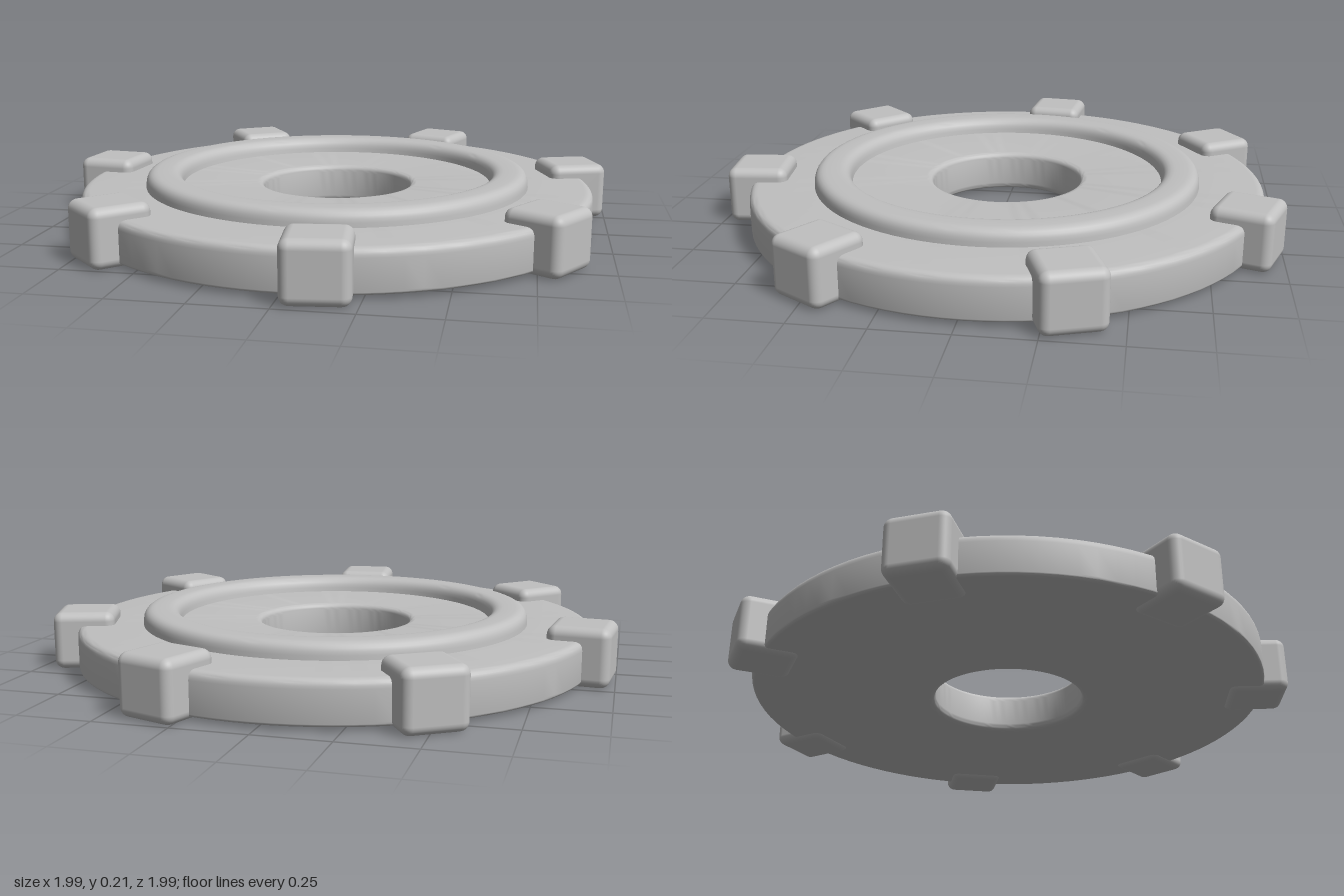
import * as THREE from 'three';
import { toCreasedNormals } from 'three/addons/utils/BufferGeometryUtils.js';
import { RoundedBoxGeometry } from 'three/addons/geometries/RoundedBoxGeometry.js';

// Lathe a closed profile of [radius, height, corner rounding], listed counter-clockwise.
function roundedLathe(corners) {
  const n = corners.length;
  const path = new THREE.Path();
  const toward = (a, b, d) => {
    const p = new THREE.Vector2(a[0], a[1]);
    const q = new THREE.Vector2(b[0], b[1]);
    return p.clone().add(q.sub(p).setLength(d));
  };
  corners.forEach((c, i) => {
    const before = toward(c, corners[(i + n - 1) % n], c[2]);
    const after = toward(c, corners[(i + 1) % n], c[2]);
    if (i === 0) path.moveTo(before.x, before.y);
    else path.lineTo(before.x, before.y);
    if (c[2] > 0) path.quadraticCurveTo(c[0], c[1], after.x, after.y);
  });
  path.closePath();
  return toCreasedNormals(new THREE.LatheGeometry(path.getPoints(6), 96), 0.6);
}

export function createModel() {
  const model = new THREE.Group();
  model.name = 'toothedDisc';
  const stone = new THREE.MeshStandardMaterial({ name: 'light grey', color: 0xc0c0c0 });

  const add = (name, geometry, parent) => {
    const mesh = new THREE.Mesh(geometry, stone);
    mesh.name = name;
    parent.add(mesh);
    return mesh;
  };

  // The odd number of teeth puts the wheel's axis slightly off the centre of its bounds
  const wheel = new THREE.Group();
  wheel.name = 'wheel';
  wheel.position.set(0.013, 0, -0.02);
  model.add(wheel);

  // Flat disc with a softened rim and central hole
  add('disc', roundedLathe([
    [0.27, 0.012, 0.025],
    [0.927, 0.012, 0.015],
    [0.927, 0.157, 0.03],
    [0.27, 0.157, 0.025],
  ]), wheel);

  // Raised ring on the top face
  add('raisedRing', roundedLathe([
    [0.56, 0.13, 0],
    [0.70, 0.13, 0],
    [0.695, 0.212, 0.04],
    [0.57, 0.212, 0.04],
  ]), wheel);

  // Seven rounded block teeth around the rim
  const toothGeometry = new RoundedBoxGeometry(0.215, 0.203, 0.215, 4, 0.032);
  const teeth = new THREE.Group();
  teeth.name = 'teeth';
  wheel.add(teeth);
  for (let i = 0; i < 7; i++) {
    const angle = THREE.MathUtils.degToRad(-70.8) + (i * Math.PI * 2) / 7;
    const tooth = add('tooth', toothGeometry, teeth);
    tooth.position.set(Math.cos(angle) * 0.903, 0.1015, Math.sin(angle) * 0.903);
    tooth.rotation.y = -angle;
  }

  return model;
}
